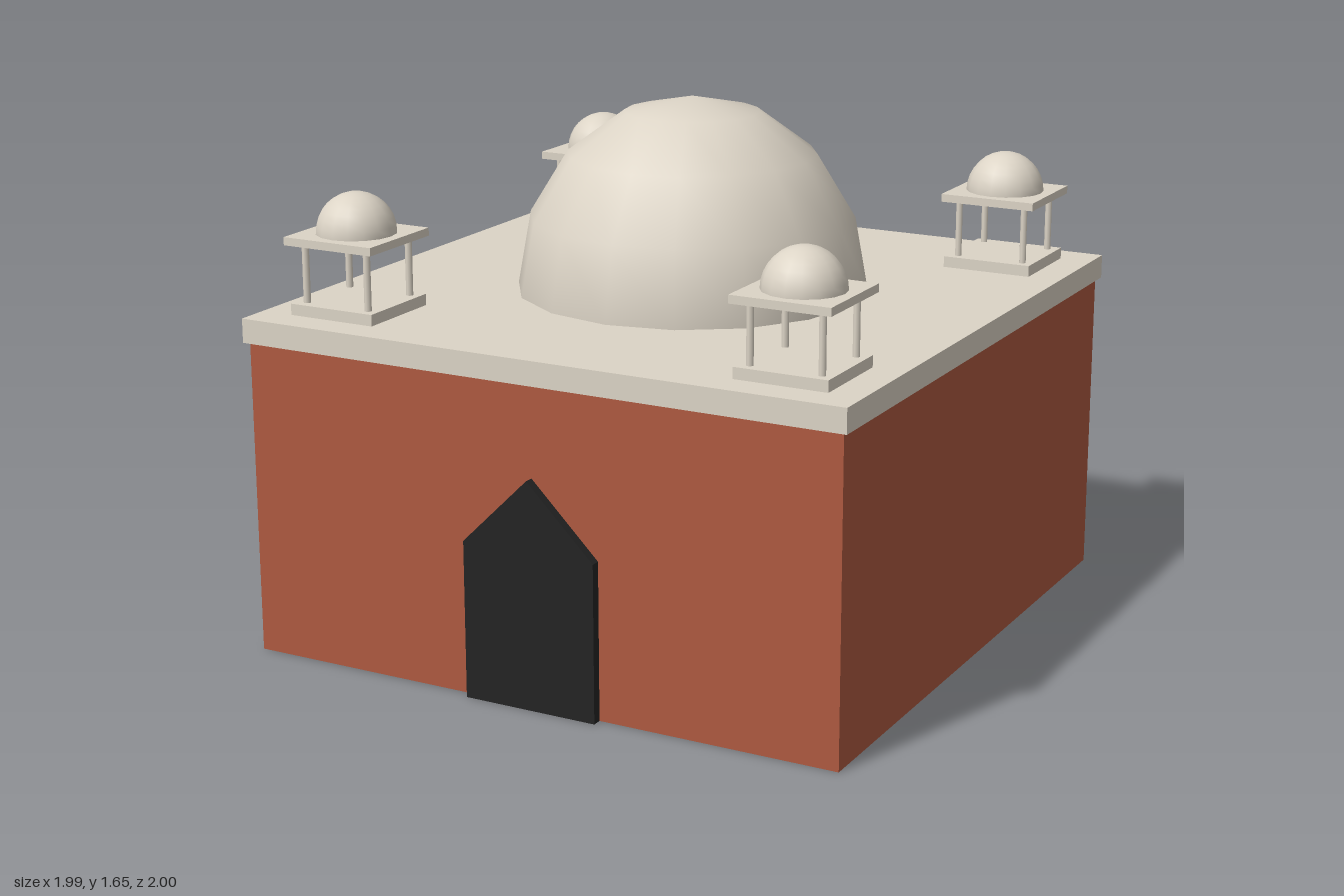
import * as THREE from 'three';

const brick = new THREE.MeshStandardMaterial({ color: 0xae5a40 });
brick.name = 'red brick';
const stone = new THREE.MeshStandardMaterial({ color: 0xdcd4c6 });
stone.name = 'pale stone';
const dark = new THREE.MeshStandardMaterial({ color: 0x242424 });
dark.name = 'dark doorway';

function add(parent, name, geometry, material, x = 0, y = 0, z = 0) {
  const mesh = new THREE.Mesh(geometry, material);
  mesh.name = name;
  mesh.position.set(x, y, z);
  parent.add(mesh);
  return mesh;
}

// Box standing on y = bottom
function slab(parent, name, width, bottom, top, material) {
  const geometry = new THREE.BoxGeometry(width, top - bottom, width);
  return add(parent, name, geometry, material, 0, (bottom + top) / 2, 0);
}

// Upper half of a sphere, closed underneath by the slab it sits on
function dome(parent, name, radius, height, base, rings) {
  const geometry = new THREE.SphereGeometry(radius, 16, rings, 0, Math.PI * 2, 0, Math.PI / 2);
  geometry.scale(1, height / radius, 1);
  return add(parent, name, geometry, stone, 0, base, 0);
}

// Open pavilion: plinth, four pillars, roof slab and small dome
function createKiosk() {
  const kiosk = new THREE.Group();
  kiosk.name = 'cornerKiosk';
  slab(kiosk, 'kioskPlinth', 0.29, 0, 0.035, stone);
  const pillar = new THREE.CylinderGeometry(0.011, 0.011, 0.18, 8);
  for (const x of [-0.11, 0.11]) {
    for (const z of [-0.11, 0.11]) add(kiosk, 'kioskPillar', pillar, stone, x, 0.125, z);
  }
  slab(kiosk, 'kioskRoof', 0.31, 0.215, 0.24, stone);
  dome(kiosk, 'kioskDome', 0.123, 0.125, 0.24, 8);
  return kiosk;
}

export function createModel() {
  const model = new THREE.Group();
  model.name = 'domedTomb';

  // Main building, set back slightly so the doorway completes the depth
  const building = new THREE.Group();
  building.name = 'building';
  building.position.z = -0.0075;
  model.add(building);
  slab(building, 'walls', 1.955, 0, 0.98, brick);
  slab(building, 'roofSlab', 1.985, 0.98, 1.055, stone);
  dome(building, 'mainDome', 0.548, 0.6, 1.055, 4);

  // Corner kiosks
  for (const x of [-0.743, 0.743]) {
    for (const z of [-0.743, 0.743]) {
      const kiosk = createKiosk();
      kiosk.position.set(x, 1.055, z);
      building.add(kiosk);
    }
  }

  // Pointed doorway
  const outline = new THREE.Shape([
    new THREE.Vector2(-0.217, 0),
    new THREE.Vector2(0.217, 0),
    new THREE.Vector2(0.217, 0.487),
    new THREE.Vector2(0, 0.702),
    new THREE.Vector2(-0.217, 0.487),
  ]);
  const doorGeometry = new THREE.ExtrudeGeometry(outline, { depth: 0.04, bevelEnabled: false });
  add(model, 'doorway', doorGeometry, dark, 0, 0, 0.96);

  return model;
}
